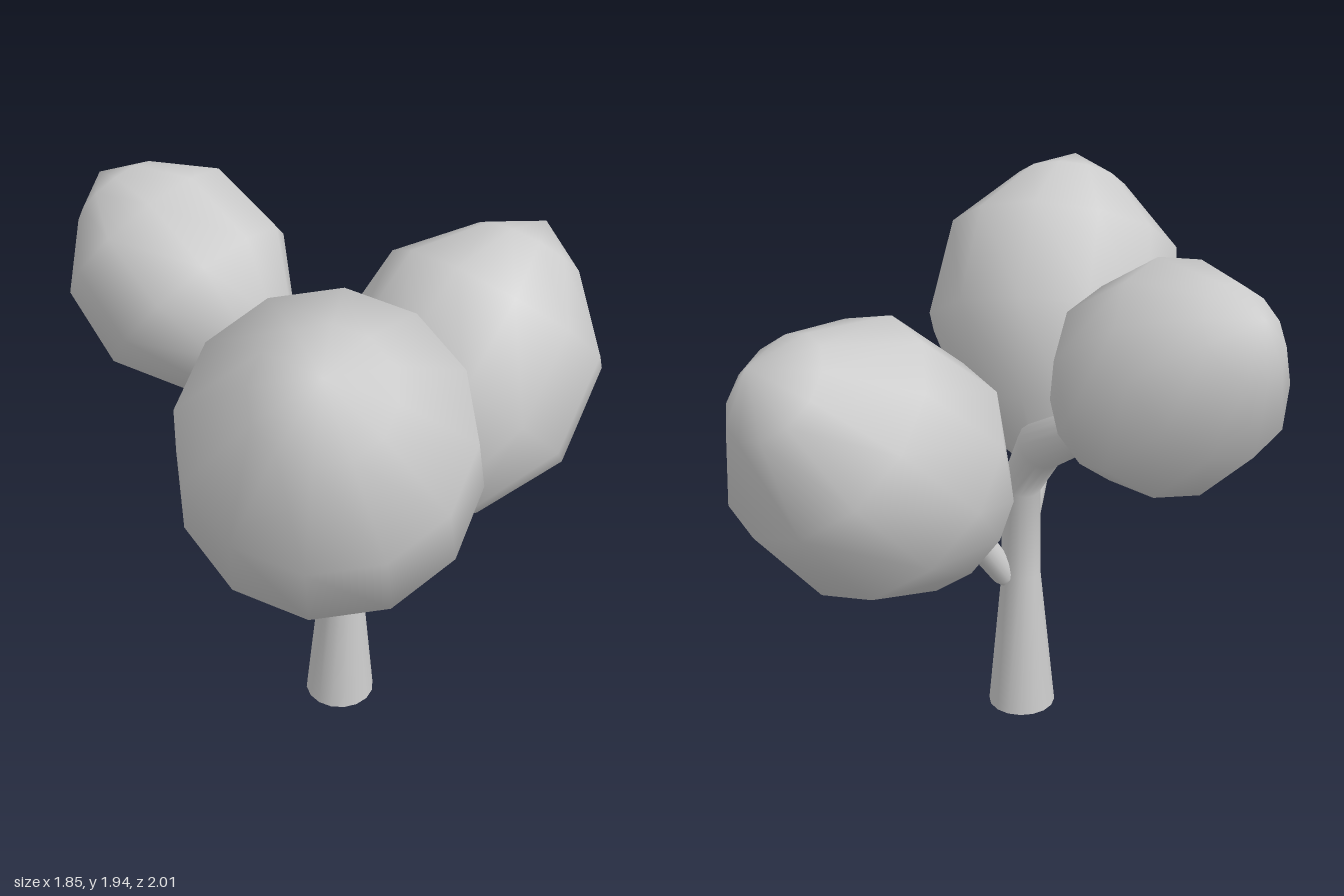
import * as THREE from 'three';
import { mergeVertices } from 'three/addons/utils/BufferGeometryUtils.js';

const material = new THREE.MeshStandardMaterial({ color: 0xcccccc, side: THREE.DoubleSide });
const UP = new THREE.Vector3(0, 1, 0);

// Round open-ended limb through stations [x, y, z, radius]
function limb(name, stations, sides = 16) {
  const centres = stations.map(([x, y, z]) => new THREE.Vector3(x, y, z));
  const last = centres.length - 1;
  const positions = [], index = [];
  centres.forEach((c, i) => {
    const tangent = new THREE.Vector3();
    if (i > 0) tangent.add(c.clone().sub(centres[i - 1]).normalize());
    if (i < last) tangent.add(centres[i + 1].clone().sub(c).normalize());
    const turn = new THREE.Quaternion().setFromUnitVectors(UP, tangent.normalize());
    for (let j = 0; j < sides; j++) {
      const a = (j / sides) * Math.PI * 2, r = stations[i][3];
      const p = new THREE.Vector3(Math.sin(a) * r, 0, Math.cos(a) * r).applyQuaternion(turn).add(c);
      positions.push(p.x, p.y, p.z);
      if (i < last) {
        const k = (j + 1) % sides, lo = i * sides, hi = lo + sides;
        index.push(lo + j, lo + k, hi + k, lo + j, hi + k, hi + j);
      }
    }
  });
  const geometry = new THREE.BufferGeometry();
  geometry.setAttribute('position', new THREE.Float32BufferAttribute(positions, 3));
  geometry.setIndex(index);
  geometry.computeVertexNormals();
  const mesh = new THREE.Mesh(geometry, material);
  mesh.name = name;
  return mesh;
}

// Bud-shaped clump of leaves growing from base to tip
function foliage(name, base, tip, radius) {
  const from = new THREE.Vector3(...base);
  const axis = new THREE.Vector3(...tip).sub(from);
  const length = axis.length();
  const profile = [[0.62, 0.145], [1, 0.4], [0.92, 0.7], [0.44, 0.9], [0, 1]];
  const points = [new THREE.Vector2(0.055, 0),
    ...profile.map(([r, t]) => new THREE.Vector2(r * radius, t * length))];
  // Weld seam and tip so that the shading runs smoothly over them
  const lathe = new THREE.LatheGeometry(points, 12);
  lathe.deleteAttribute('normal');
  lathe.deleteAttribute('uv');
  const geometry = mergeVertices(lathe);
  geometry.computeVertexNormals();
  const mesh = new THREE.Mesh(geometry, material);
  mesh.name = name;
  mesh.position.copy(from);
  mesh.quaternion.setFromUnitVectors(UP, axis.normalize());
  return mesh;
}

export function createModel() {
  const tree = new THREE.Group();
  tree.name = 'tree';

  // Flared trunk that bends over into the right-hand branch
  tree.add(limb('trunk', [
    [0.17, 0, 0.07, 0.125],
    [0.17, 0.55, 0.07, 0.072],
    [0.17, 0.9, 0.07, 0.072],
    [0.06, 1.09, 0.066, 0.09],
    [-0.165, 1.225, 0.06, 0.075],
    [-0.24, 1.28, 0.06, 0.06],
  ]));

  // Side branches, narrowing where they leave the trunk
  tree.add(limb('frontBranch', [
    [0.185, 0.7, 0.09, 0.03], [0.19, 0.73, 0.105, 0.052],
    [0.245, 0.92, 0.21, 0.057], [0.28, 1.02, 0.27, 0.05],
  ]));
  tree.add(limb('backBranch', [
    [0.195, 0.51, 0.03, 0.025], [0.198, 0.55, 0.012, 0.048],
    [0.222, 0.72, -0.1, 0.055], [0.23, 0.82, -0.19, 0.045],
  ]));

  // Leaf clumps
  tree.add(foliage('rightFoliage', [-0.165, 1.22, 0.06], [-0.9, 1.785, 0.06], 0.37));
  tree.add(foliage('frontFoliage', [0.24, 0.92, 0.21], [0.64, 1.92, 0.79], 0.472));
  tree.add(foliage('backFoliage', [0.222, 0.72, -0.1], [0.3, 1.57, -0.95], 0.465));

  return tree;
}
